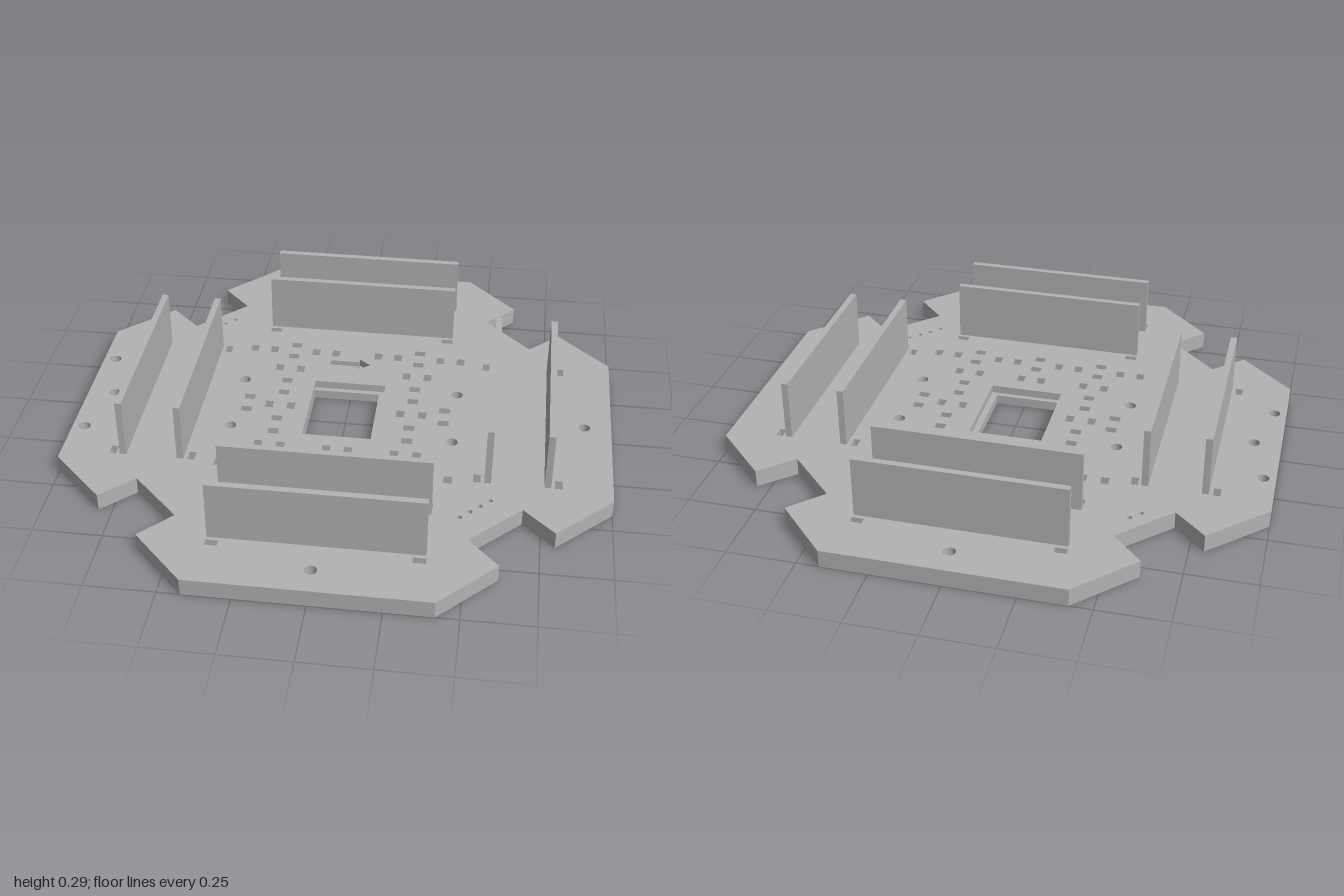
import * as THREE from 'three';

const TOP = 0.065, FLOOR = 0.035, WALL_TOP = 0.29;

// Closed path from [x, z] pairs
const poly = (pts, Type = THREE.Path) => new Type(pts.map(([x, z]) => new THREE.Vector2(x, z)));
const box = (x0, x1, z0, z1) => poly([[x0, z0], [x1, z0], [x1, z1], [x0, z1]]);
const rect = (x, z, w, d) => box(x - w / 2, x + w / 2, z - d / 2, z + d / 2);
const circle = (x, z, r) => new THREE.Path().absarc(x, z, r, 0, Math.PI * 2, true);

// Octagonal outline with a notch at each diagonal corner
function outline() {
  const quarter = [[-0.42, -1], [0.42, -1], [0.615, -0.8], [0.505, -0.685], [0.685, -0.505], [0.8, -0.615]];
  const pts = [];
  for (let i = 0; i < 4; i++) {
    for (const [x, z] of quarter) {
      let p = [x, z];
      for (let k = 0; k < i; k++) p = [-p[1], p[0]];
      pts.push(p);
    }
  }
  return poly(pts, THREE.Shape);
}

// Openings that go right through the plate
function throughHoles() {
  const holes = [];
  for (const [x, z] of [[0, -0.9], [0, 0.9], [-0.9, 0], [0.9, 0], [-0.955, -0.225], [-0.955, 0.225],
    [-0.415, -0.15], [-0.415, 0.15], [0.415, -0.15], [0.415, 0.15]]) holes.push(circle(x, z, 0.022));
  for (const a of [-0.352, 0.352]) {
    for (const b of [-0.808, -0.518, 0.518, 0.808]) {
      holes.push(rect(a, b, 0.044, 0.026), rect(b, a, 0.026, 0.044));
    }
  }
  return holes;
}

// Blind recesses in the upper face
function pockets() {
  const list = [];
  const tall = (x, z) => list.push(rect(x, z, 0.031, 0.041));
  const wide = (x, z) => list.push(rect(x, z, 0.041, 0.031));
  for (const s of [-1, 1]) {
    for (const a of [0.085, 0.165, 0.335, 0.415]) {
      for (const b of [-0.375, 0.375]) tall(s * a, b);
      for (const b of [-0.25, 0.25]) wide(b, s * a);
    }
    for (const a of [0.21, 0.293]) for (const z of [-0.25, 0, 0.25]) tall(s * a, z);
    tall(s * 0.04, 0.25);
    for (const x of [-0.375, 0.375]) wide(x, s * 0.04);
  }
  wide(0, 0.335);
  wide(0, 0.415);
  // Direction arrow
  list.push(poly([[-0.1, -0.325], [0.015, -0.325], [0.015, -0.345], [0.06, -0.31],
    [0.015, -0.275], [0.015, -0.295], [-0.1, -0.295]]));
  // Counting dots at two opposite corners
  for (const [c, n] of [[0.52, 4], [-0.555, 2]]) {
    for (let i = 0; i < n; i++) {
      const t = (i - (n - 1) / 2) * 0.034;
      list.push(circle(c + t, c - t, 0.009));
    }
  }
  return list;
}

export function createModel() {
  const group = new THREE.Group();
  const grey = new THREE.MeshStandardMaterial({ color: 0xb2b2b2 });
  grey.name = 'grey';

  function layer(name, holes, y0, y1) {
    const shape = outline();
    shape.holes = holes;
    const geo = new THREE.ExtrudeGeometry(shape, { depth: y1 - y0, bevelEnabled: false, curveSegments: 10 });
    geo.rotateX(Math.PI / 2);
    const mesh = new THREE.Mesh(geo, grey);
    mesh.position.y = y1;
    mesh.name = name;
    group.add(mesh);
  }

  // Base plate: solid floor layer and pocketed upper layer
  layer('plateFloor', [...throughHoles(), box(-0.14, 0.112, -0.155, 0.15)], 0, FLOOR);
  layer('plateTop', [...throughHoles(), ...pockets(), box(-0.14, 0.135, -0.175, 0.17)], FLOOR, TOP);

  // Two parallel upright walls on each of the four sides
  const h = WALL_TOP - TOP;
  for (const s of [-1, 1]) {
    for (const [name, d] of [['innerWall', 0.557], ['outerWall', 0.769]]) {
      for (const alongX of [true, false]) {
        const geo = alongX ? new THREE.BoxGeometry(0.745, h, 0.024) : new THREE.BoxGeometry(0.024, h, 0.745);
        const wall = new THREE.Mesh(geo, grey);
        wall.position.set(alongX ? 0 : s * d, TOP + h / 2, alongX ? s * d : 0);
        wall.name = name;
        group.add(wall);
      }
    }
  }
  return group;
}
